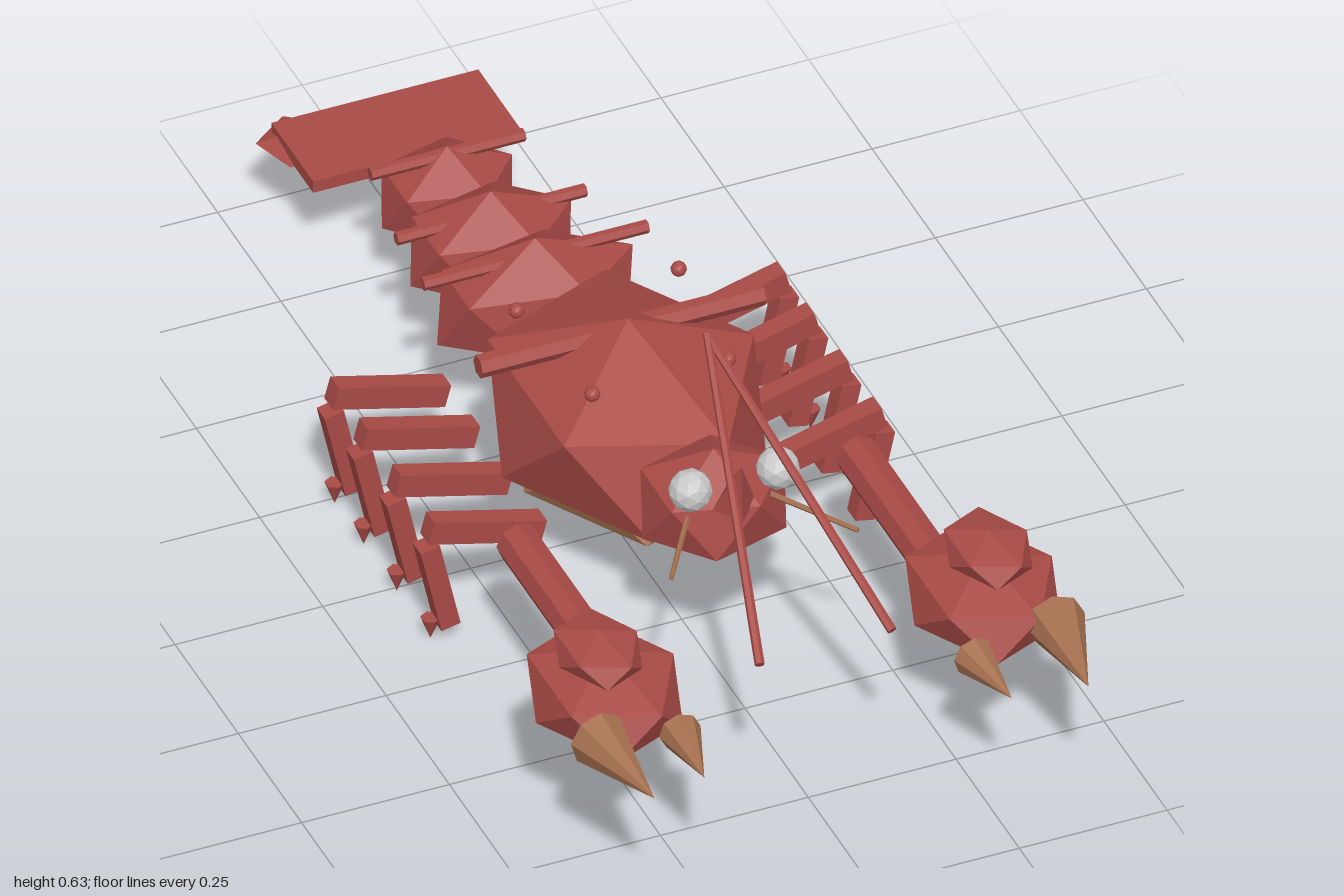
import * as THREE from 'three';
import { ConvexGeometry } from 'three/addons/geometries/ConvexGeometry.js';

const material = (name, color) => {
  const m = new THREE.MeshStandardMaterial({ color, flatShading: true });
  m.name = name;
  return m;
};

export function createModel() {
  const shell = material('red shell', 0xa84a46);
  const tan = material('tan horn', 0xa5704f);
  const white = material('eye grey', 0xc8c8c8);
  const model = new THREE.Group();
  model.name = 'lobster';
  const V = (x, y, z) => new THREE.Vector3(x, y, z);

  const add = (name, geometry, mat, x = 0, y = 0, z = 0) => {
    const mesh = new THREE.Mesh(geometry, mat);
    mesh.name = name;
    mesh.position.set(x, y, z);
    model.add(mesh);
    return mesh;
  };

  // Icosahedron with a vertex at the top and bottom, stretched per axis
  const icoPoints = [V(0, 1, 0), V(0, -1, 0)];
  for (let i = 0; i < 5; i++) {
    const a = i * Math.PI * 0.4;
    const c = 0.8944 * Math.cos(a), s = 0.8944 * Math.sin(a);
    icoPoints.push(V(c, 0.4472, s), V(-c, -0.4472, s));
  }
  const lump = (name, mat, center, radii) =>
    add(name, new ConvexGeometry(icoPoints.map(p => p.clone().multiply(V(...radii)))), mat, ...center);

  // Tapered rod between two points (r1 at the end, r0 at the start)
  const rod = (name, mat, from, to, r0, r1 = r0, sides = 6) => {
    const a = V(...from), b = V(...to), dir = b.clone().sub(a);
    const mesh = add(name, new THREE.CylinderGeometry(r1, r0, dir.length(), sides), mat);
    mesh.position.copy(a).add(b).multiplyScalar(0.5);
    mesh.quaternion.setFromUnitVectors(V(0, 1, 0), dir.normalize());
    return mesh;
  };

  // Square bar lying in the x-y plane
  const bar = (name, from, to, z, thick, depth) => {
    const dx = to[0] - from[0], dy = to[1] - from[1];
    const mesh = add(name, new THREE.BoxGeometry(Math.hypot(dx, dy), thick, depth), shell,
      (from[0] + to[0]) / 2, (from[1] + to[1]) / 2, z);
    mesh.rotation.z = Math.atan2(dy, dx);
  };

  // Body, belly and head
  lump('body', shell, [0, 0.268, 0.037], [0.238, 0.17, 0.288]);
  lump('belly', tan, [0, 0.197, 0.035], [0.195, 0.105, 0.24]);
  lump('head', shell, [0, 0.323, 0.375], [0.134, 0.096, 0.118]);
  rod('bodyRidge', shell, [-0.24, 0.394, 0.006], [0.24, 0.394, 0.006], 0.019);
  const rostrum = rod('rostrum', shell, [0, 0.365, 0.462], [0, 0.462, 0.48], 0.036, 0, 4);
  rostrum.rotateX(0.12);

  // Tail segments with their cross ridges: z, centre y, radii, ridge half width and height
  [
    [-0.33, 0.23, [0.185, 0.11, 0.105], 0.19, 0.307],
    [-0.505, 0.21, [0.152, 0.1, 0.104], 0.16, 0.265],
    [-0.678, 0.19, [0.123, 0.088, 0.097], 0.13, 0.262],
  ].forEach(([z, y, radii, w, ry]) => {
    lump('tailSegment', shell, [0, y, z], radii);
    rod('tailRidge', shell, [-w, ry, z], [w, ry, z], 0.011);
  });

  // Tail fan plate and the flat point at its corner
  add('tailFan', new THREE.BoxGeometry(0.35, 0.022, 0.165), shell, 0, 0.167, -0.88);
  add('tailFanPoint', new THREE.ConeGeometry(0.07, 0.025, 5), shell, -0.14, 0.167, -0.93).rotation.y = Math.PI;

  for (const s of [1, -1]) {
    // Eyes, feelers and shell bumps
    add('eye', new THREE.IcosahedronGeometry(0.035, 1), white, s * 0.074, 0.417, 0.457);
    rod('antenna', shell, [s * 0.112, 0.34, 0.82], [0, 0.625, 0.35], 0.008, 0.007);
    rod('antennule', tan, [s * 0.065, 0.354, 0.43], [s * 0.158, 0.354, 0.578], 0.005, 0.004);
    add('shellBump', new THREE.IcosahedronGeometry(0.013, 1), shell, s * 0.137, 0.412, -0.082);
    add('shellBump', new THREE.IcosahedronGeometry(0.013, 1), shell, s * 0.115, 0.414, 0.165);

    // Claw arm, palm and pincers
    rod('clawArm', shell, [s * 0.287, 0.25, 0.27], [s * 0.287, 0.25, 0.59], 0.035, 0.035, 8);
    lump('claw', shell, [s * 0.32, 0.268, 0.693], [0.13, 0.074, 0.168]);
    lump('clawKnuckle', shell, [s * 0.33, 0.345, 0.69], [0.073, 0.037, 0.1]);
    rod('largePincer', tan, [s * 0.387, 0.28, 0.822], [s * 0.367, 0.28, 1], 0.048, 0, 8);
    rod('smallPincer', tan, [s * 0.248, 0.252, 0.822], [s * 0.26, 0.252, 0.947], 0.034, 0, 8);

    // Walking legs
    for (const z of [0.14, 0.007, -0.124, -0.239]) {
      bar('upperLeg', [s * 0.193, 0.164], [s * 0.383, 0.215], z, 0.04, 0.034);
      bar('lowerLeg', [s * 0.385, 0.184], [s * 0.35, 0.024], z, 0.033, 0.033);
      rod('foot', shell, [s * 0.378, 0.04, z], [s * 0.378, 0, z], 0.016, 0, 6);
    }
  }
  return model;
}
